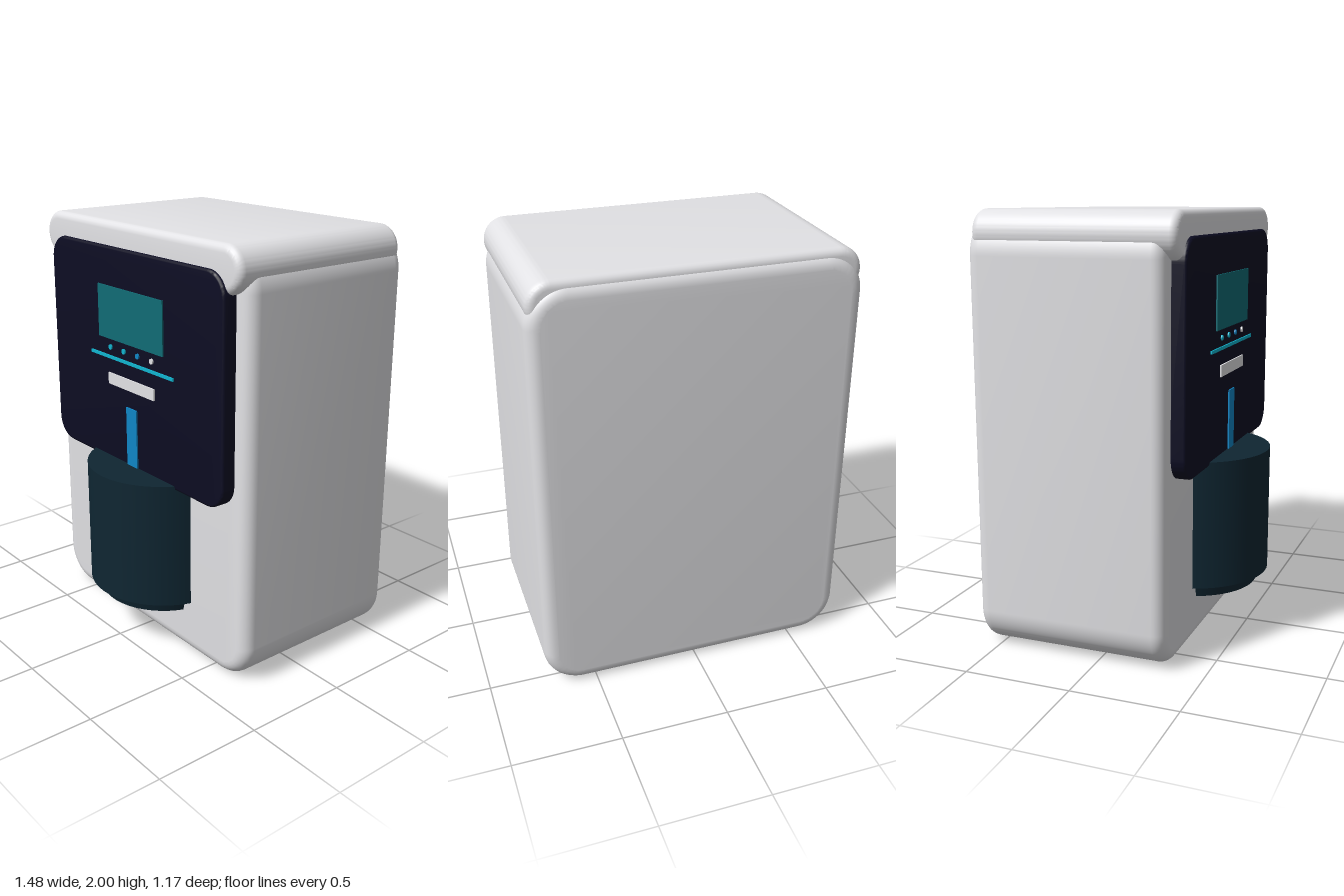
import * as THREE from 'three';
import { toCreasedNormals } from 'three/addons/utils/BufferGeometryUtils.js';

const material = (name, color) => {
  const m = new THREE.MeshStandardMaterial({ color });
  m.name = name;
  return m;
};

// Rounded-rectangle slab with bevelled front and back edges, given by its outer limits
function slab([x0, x1], [y0, y1], [z0, z1], radius, bevel, steps) {
  const l = x0 + bevel, r = x1 - bevel, b = y0 + bevel, t = y1 - bevel;
  const c = radius - bevel;
  const shape = new THREE.Shape();
  shape.moveTo(l + c, b);
  shape.lineTo(r - c, b);
  shape.absarc(r - c, b + c, c, -Math.PI / 2, 0);
  shape.lineTo(r, t - c);
  shape.absarc(r - c, t - c, c, 0, Math.PI / 2);
  shape.lineTo(l + c, t);
  shape.absarc(l + c, t - c, c, Math.PI / 2, Math.PI);
  shape.lineTo(l, b + c);
  shape.absarc(l + c, b + c, c, Math.PI, Math.PI * 1.5);
  const geometry = new THREE.ExtrudeGeometry(shape, {
    depth: z1 - z0 - 2 * bevel, bevelSize: bevel, bevelThickness: bevel,
    bevelSegments: steps, curveSegments: 12,
  });
  geometry.translate(0, 0, z0 + bevel);
  return toCreasedNormals(geometry, 0.6);
}

export function createModel() {
  const model = new THREE.Group();
  model.name = 'countertopDispenser';

  const shell = material('shellGrey', 0xe2e2e5);
  const navy = material('panelNavy', 0x0d0d23);
  const dark = material('vesselDark', 0x0f2632);
  const teal = material('screenTeal', 0x106c75);
  const cyan = material('accentCyan', 0x10b5d0);
  const blue = material('spoutBlue', 0x0f86c6);

  const add = (name, geometry, mat, x = 0, y = 0, z = 0) => {
    const mesh = new THREE.Mesh(geometry, mat);
    mesh.name = name;
    mesh.position.set(x, y, z);
    model.add(mesh);
    return mesh;
  };

  // Housing and overhanging lid
  add('housing', slab([-0.74, 0.74], [0, 1.98], [-0.585, 0.33], 0.18, 0.06, 6), shell);
  add('lid', slab([-0.73, 0.73], [1.79, 2], [-0.565, 0.38], 0.105, 0.035, 5), shell);

  // Control panel
  add('controlPanel', slab([-0.655, 0.655], [0.85, 1.89], [0.3, 0.397], 0.11, 0.012, 3), navy);

  // Thin plates on the panel: name, width, height, centre y, material
  const plates = [
    ['screen', 0.5, 0.25, 1.585, teal],
    ['accentLine', 0.645, 0.015, 1.372, cyan],
    ['labelBar', 0.36, 0.055, 1.267, shell],
    ['spout', 0.08, 0.29, 1.01, blue],
  ];
  for (const [name, w, h, y, mat] of plates) {
    add(name, new THREE.BoxGeometry(w, h, 0.009), mat, 0, y, 0.3995);
  }

  // Row of indicator buttons
  [cyan, cyan, blue, shell].forEach((mat, i) => {
    const button = new THREE.CylinderGeometry(0.013, 0.013, 0.009, 12).rotateX(Math.PI / 2);
    add('button', button, mat, -0.161 + i * 0.1073, 1.42, 0.3995);
  });

  // Round vessel with a narrower tapered foot
  add('vessel', new THREE.CylinderGeometry(0.37, 0.37, 0.605, 64), dark, 0, 0.567, 0.215);
  add('vesselFoot', new THREE.CylinderGeometry(0.333, 0.315, 0.065, 64), dark, 0, 0.2375, 0.215);

  return model;
}
